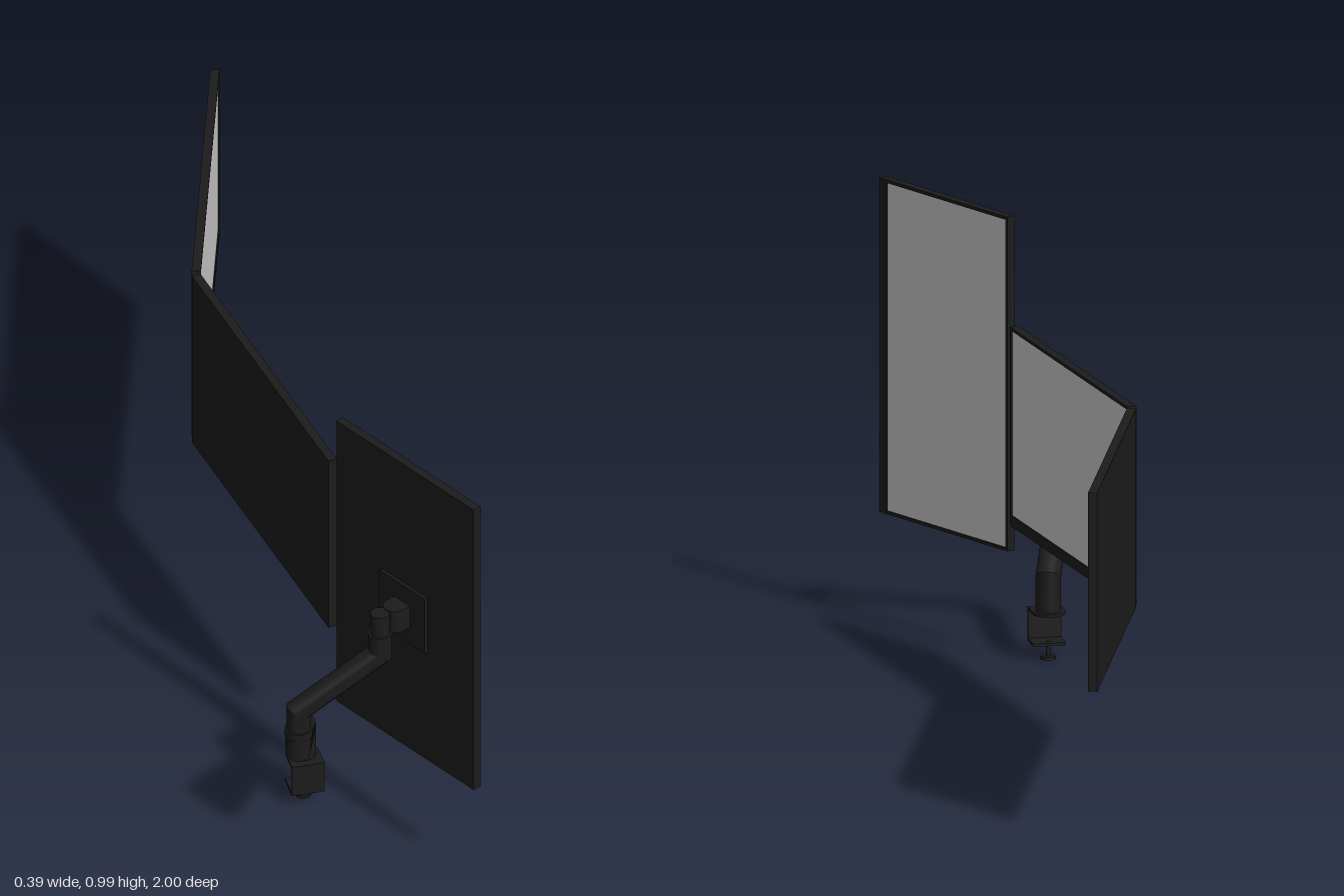
import * as THREE from 'three';
import { toCreasedNormals } from 'three/addons/utils/BufferGeometryUtils.js';

const black = new THREE.MeshStandardMaterial({ color: 0x1c1c1c });
const grey = new THREE.MeshStandardMaterial({ color: 0xcccccc });
const V = (x, y, z) => new THREE.Vector3(x, y, z);

function add(parent, name, geometry, x = 0, y = 0, z = 0, material = black) {
  const mesh = new THREE.Mesh(geometry, material);
  mesh.name = name;
  mesh.position.set(x, y, z);
  parent.add(mesh);
  return mesh;
}

const cylinder = (r, h, n = 32) => new THREE.CylinderGeometry(r, r, h, n);

function rectPath(path, x0, y0, x1, y1) {
  path.moveTo(x0, y0);
  path.lineTo(x1, y0);
  path.lineTo(x1, y1);
  path.lineTo(x0, y1);
  path.closePath();
  return path;
}

// Monitor facing +z with a deeper chin bezel at the bottom
function monitor(name) {
  const W = 0.745, H = 0.443, T = 0.02, rim = 0.007, chin = 0.024, lip = 0.004;
  const g = new THREE.Group();
  g.name = name;
  const frame = rectPath(new THREE.Shape(), -W / 2, -H / 2, W / 2, H / 2);
  frame.holes.push(rectPath(new THREE.Path(), -W / 2 + rim, -H / 2 + chin, W / 2 - rim, H / 2 - rim));
  add(g, 'backShell', new THREE.BoxGeometry(W, H, T - lip), 0, 0, -lip / 2);
  add(g, 'bezel', new THREE.ExtrudeGeometry(frame, { depth: lip, bevelEnabled: false }), 0, 0, T / 2 - lip);
  add(g, 'screen', new THREE.PlaneGeometry(W - 2 * rim, H - rim - chin),
    0, (chin - rim) / 2, T / 2 - lip + 0.001, grey);
  return g;
}

// Round pipe along straight segments with mitred corners and closed ends
function mitredPipe(points, r, sides = 28) {
  const dirs = points.slice(1).map((p, i) => p.clone().sub(points[i]).normalize());
  const u = new THREE.Vector3().crossVectors(dirs[0], V(0, 0, 1)).normalize();
  const v = new THREE.Vector3().crossVectors(dirs[0], u);
  const pos = [], index = [];
  let ring = [];
  for (let k = 0; k < sides; k++) {
    const a = k / sides * Math.PI * 2;
    ring.push(points[0].clone().addScaledVector(u, Math.cos(a) * r).addScaledVector(v, Math.sin(a) * r));
  }
  points.forEach((p, i) => {
    if (i > 0) {
      // slide the previous ring along its segment onto the mitre plane
      const d = dirs[i - 1];
      const n = d.clone().add(dirs[i] || d).normalize();
      ring = ring.map(q => q.clone().addScaledVector(d, p.clone().sub(q).dot(n) / d.dot(n)));
    }
    ring.forEach(q => pos.push(q.x, q.y, q.z));
  });
  const last = points.length - 1, c0 = points.length * sides;
  [points[0], points[last]].forEach(p => pos.push(p.x, p.y, p.z));
  for (let k = 0; k < sides; k++) {
    const m = (k + 1) % sides;
    for (let i = 0; i < last; i++) {
      const a = i * sides + k, b = i * sides + m;
      index.push(a, b, b + sides, a, b + sides, a + sides);
    }
    index.push(c0, m, k, c0 + 1, last * sides + k, last * sides + m);
  }
  const geo = new THREE.BufferGeometry();
  geo.setAttribute('position', new THREE.Float32BufferAttribute(pos, 3));
  geo.setIndex(index);
  return toCreasedNormals(geo, 0.4);
}

// Desk clamp: rounded top plate, front wall, lower jaw and screw
function deskClamp() {
  const g = new THREE.Group();
  g.name = 'deskClamp';
  const w = 0.073, r = w / 2, t = 0.006;
  const plate = new THREE.Shape();
  plate.moveTo(-r, -0.05);
  plate.lineTo(r, -0.05);
  plate.lineTo(r, 0);
  plate.absarc(0, 0, r, 0, Math.PI, false);
  plate.closePath();
  const top = add(g, 'topPlate',
    new THREE.ExtrudeGeometry(plate, { depth: t, bevelEnabled: false, curveSegments: 24 }), 0, 0.102, -0.005);
  top.rotation.x = -Math.PI / 2;
  add(g, 'clampWall', new THREE.BoxGeometry(w, 0.076, t), 0, 0.07, 0.042);
  add(g, 'lowerJaw', new THREE.BoxGeometry(w, t, 0.06), 0, 0.035, 0.015);
  add(g, 'screw', cylinder(0.005, 0.036), 0, 0.021, 0);
  add(g, 'screwFoot', cylinder(0.017, 0.007), 0, 0.0035, 0);
  g.position.set(-0.1, 0, 0.597);
  return g;
}

export function createModel() {
  const model = new THREE.Group();
  model.name = 'tripleMonitorSetup';

  // Screens: name, centre, heading, roll
  const screens = [
    ['rearMonitor', 0.002, 0.557, -0.641, 1.264, 0],
    ['middleMonitor', -0.057, 0.557, 0.097, 1.725, 0],
    ['uprightMonitor', 0.0825, 0.6155, 0.8, 2.05, -Math.PI / 2],
  ];
  for (const [name, x, y, z, heading, roll] of screens) {
    const m = monitor(name);
    m.position.set(x, y, z);
    m.rotation.set(0, heading, roll);
    model.add(m);
  }

  // Jointed arm carrying the upright monitor
  const arm = new THREE.Group();
  arm.name = 'monitorArm';
  model.add(arm);
  arm.add(deskClamp());
  add(arm, 'lowerArm', mitredPipe([
    V(-0.1, 0.105, 0.597), V(-0.1, 0.183, 0.597), V(-0.168, 0.29, 0.82), V(-0.168, 0.335, 0.82)], 0.0275));
  add(arm, 'elbowRing', cylinder(0.03, 0.018), -0.168, 0.336, 0.82);
  add(arm, 'upperArm', mitredPipe([
    V(-0.168, 0.335, 0.82), V(-0.168, 0.392, 0.82), V(0.01, 0.523, 0.835), V(0.01, 0.576, 0.835)], 0.026));
  add(arm, 'headPivot', cylinder(0.021, 0.056), 0.01, 0.6, 0.835);

  // Tilting head, with local +z pointing into the screen back
  const head = new THREE.Group();
  head.name = 'tiltHead';
  head.position.set(0.07, 0.602, 0.806);
  head.rotation.y = 2.05;
  arm.add(head);
  add(head, 'mountPlate', new THREE.BoxGeometry(0.145, 0.145, 0.008));
  add(head, 'headBlock', new THREE.BoxGeometry(0.05, 0.057, 0.024), 0, 0, -0.014);
  add(head, 'headHinge', cylinder(0.025, 0.057), 0, 0, -0.026);
  add(head, 'headLink', new THREE.BoxGeometry(0.022, 0.04, 0.04), 0, 0, -0.05);
  return model;
}
